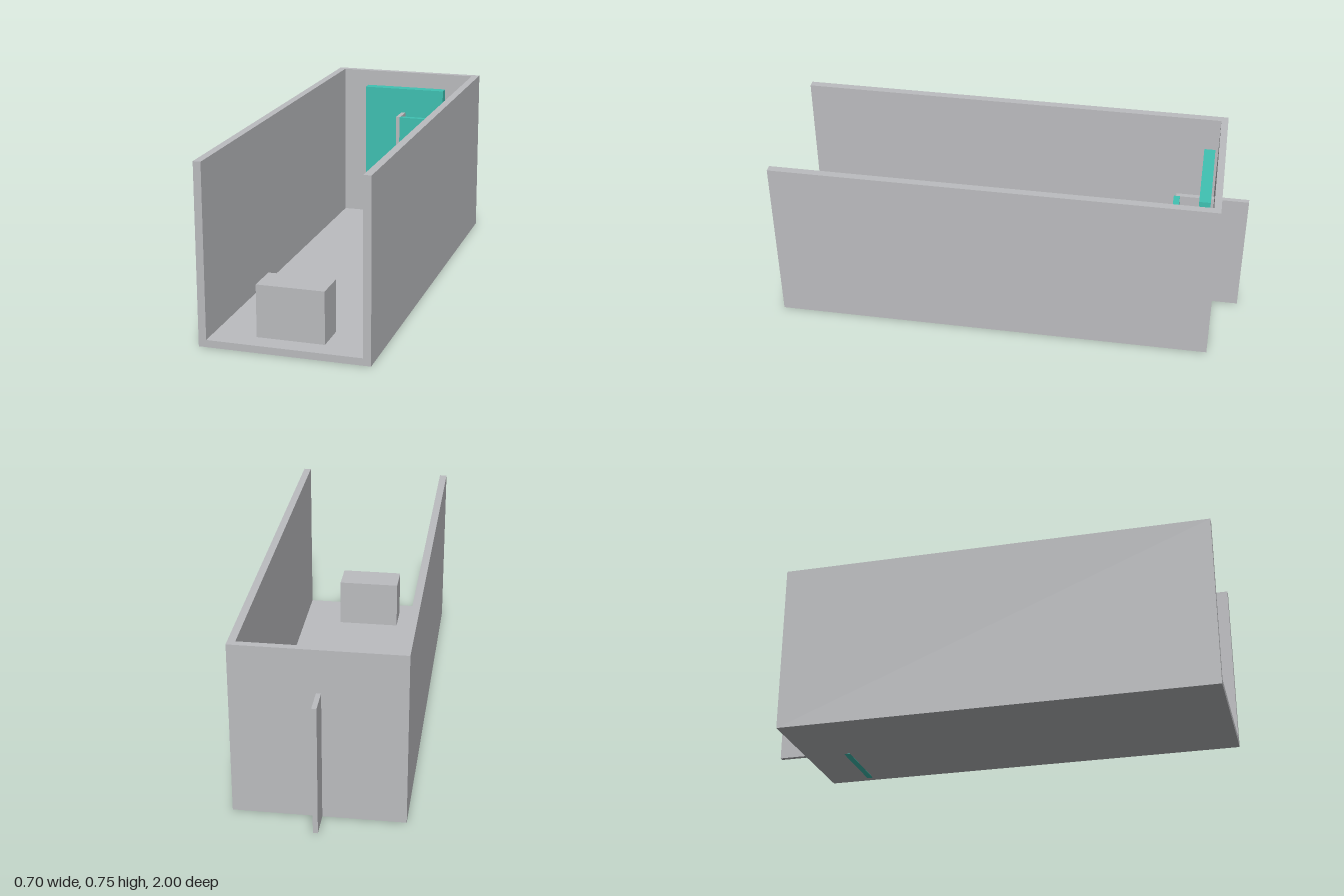
import * as THREE from 'three';

export function createModel() {
  const model = new THREE.Group();
  model.name = 'openTrough';
  const grey = new THREE.MeshStandardMaterial({ name: 'lightGrey', color: 0xbcbdc0 });
  const teal = new THREE.MeshStandardMaterial({ name: 'teal', color: 0x40c2b3 });

  function add(name, geometry, material) {
    const mesh = new THREE.Mesh(geometry, material);
    mesh.name = name;
    model.add(mesh);
    return mesh;
  }

  // Box given by its lower and upper corners
  function block(name, material, [x0, y0, z0], [x1, y1, z1]) {
    const mesh = add(name, new THREE.BoxGeometry(x1 - x0, y1 - y0, z1 - z0), material);
    mesh.position.set((x0 + x1) / 2, (y0 + y1) / 2, (z0 + z1) / 2);
  }

  const W = 0.352, H = 0.752, wall = 0.032, floor = 0.03;
  const back = -0.882, inner = -0.852, front = 1;

  // Floor and both side walls as one U-shaped extrusion, open at top and front
  const section = new THREE.Shape([
    [-W, 0], [W, 0], [W, H], [W - wall, H],
    [W - wall, floor], [-W + wall, floor], [-W + wall, H], [-W, H],
  ].map(([x, y]) => new THREE.Vector2(x, y)));
  const shell = add('floorAndSideWalls',
    new THREE.ExtrudeGeometry(section, { depth: front - back, bevelEnabled: false }), grey);
  shell.position.z = back;

  // Closed end
  block('backWall', grey, [-W + wall, floor, back], [W - wall, H, inner]);

  // Block standing near the open end
  block('frontBlock', grey, [-0.141, floor, 0.77], [0.141, 0.25, 0.915]);

  // Upright panel and the ledge under it
  block('backPanel', teal, [-0.195, 0.143, -0.838], [0.193, 0.682, -0.79]);
  block('ledge', grey, [-0.159, 0.095, inner], [0.156, 0.142, -0.722]);

  // Fin passing through the back wall, with a screen beside it
  block('fin', grey, [-0.013, 0, -1], [0.007, 0.565, -0.69]);
  block('sideScreen', teal, [0.006, -0.001, -0.706], [W - wall, 0.565, -0.68]);

  return model;
}
